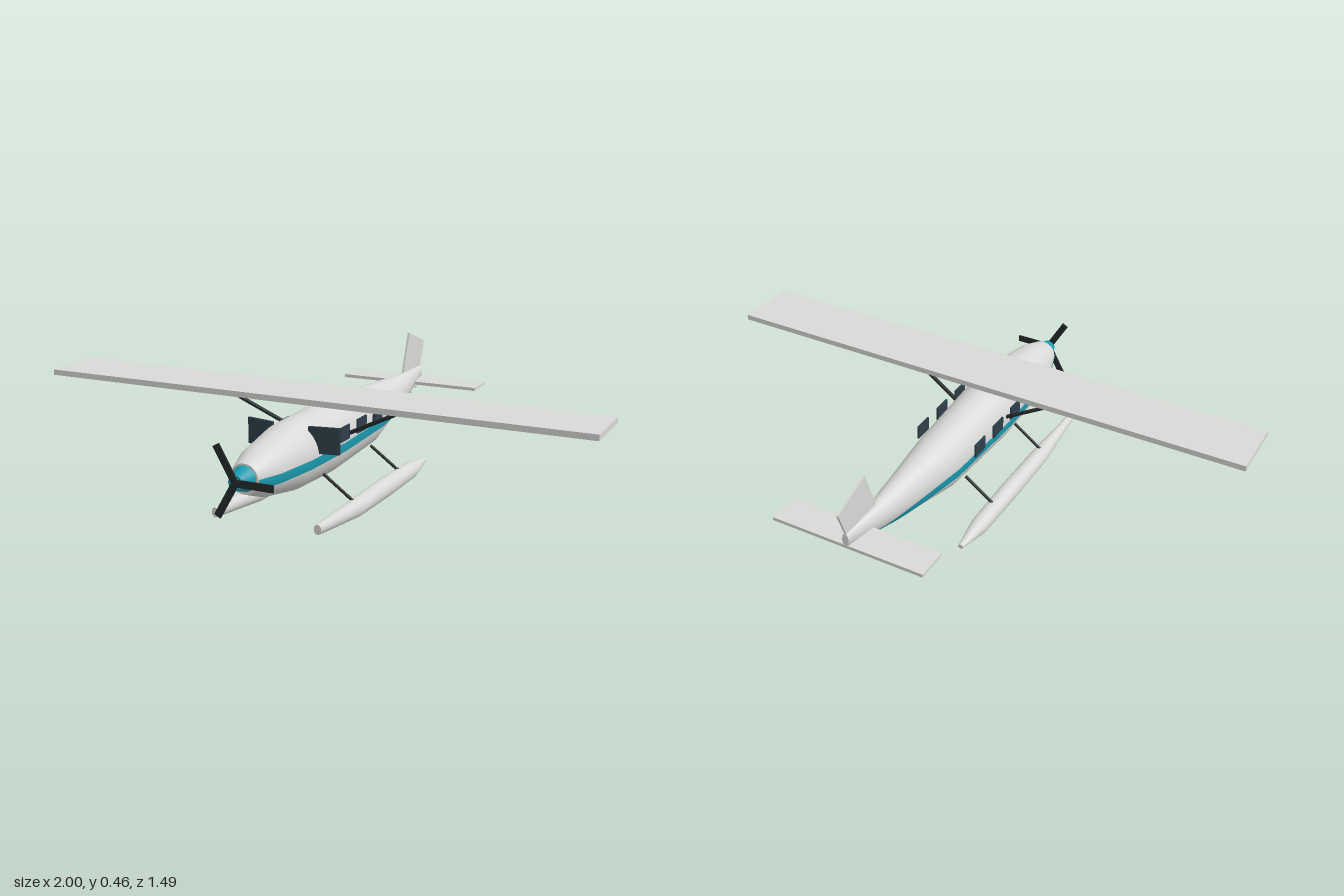
import * as THREE from 'three';

const mat = (name, color, side = THREE.FrontSide) => {
  const m = new THREE.MeshStandardMaterial({ color, side });
  m.name = name;
  return m;
};

// Closed loft through ellipses [z, yCentre, rx, ry], ordered front to back
function loft(sections, sides = 32) {
  const pos = [], idx = [];
  const ring = ([z, yc, rx, ry]) => {
    const start = pos.length / 3;
    for (let j = 0; j < sides; j++) {
      const a = (j / sides) * Math.PI * 2;
      pos.push(Math.cos(a) * rx, yc + Math.sin(a) * ry, z);
    }
    return start;
  };
  const starts = sections.map(ring);
  for (let i = 0; i < starts.length - 1; i++) {
    for (let j = 0; j < sides; j++) {
      const k = (j + 1) % sides;
      const a = starts[i] + j, b = starts[i] + k, c = starts[i + 1] + j, d = starts[i + 1] + k;
      idx.push(a, c, b, b, c, d);
    }
  }
  // End caps with their own vertices for crisp rims
  for (const [s, front] of [[sections[0], true], [sections[sections.length - 1], false]]) {
    const r = ring(s), centre = pos.length / 3;
    pos.push(0, s[1], s[0]);
    for (let j = 0; j < sides; j++) {
      const k = (j + 1) % sides;
      idx.push(centre, r + (front ? j : k), r + (front ? k : j));
    }
  }
  const g = new THREE.BufferGeometry();
  g.setAttribute('position', new THREE.Float32BufferAttribute(pos, 3));
  g.setIndex(idx);
  g.computeVertexNormals();
  return g;
}

// Section of a loft at any z, by linear interpolation
function sectionAt(sections, z) {
  let i = 0;
  while (i < sections.length - 2 && sections[i + 1][0] > z) i++;
  const a = sections[i], b = sections[i + 1], t = (z - a[0]) / (b[0] - a[0]);
  return a.map((v, n) => v + (b[n] - v) * t);
}

// Band hugging one side of the body between two heights
function stripeGeometry(sections, side, yLow, yHigh, zFront, zBack) {
  const pos = [], idx = [], steps = 60, across = 6, lift = 0.002;
  for (let i = 0; i <= steps; i++) {
    const z = zFront + (zBack - zFront) * (i / steps);
    const [, yc, rx, ry] = sectionAt(sections, z);
    const angle = (y) => Math.asin(THREE.MathUtils.clamp((y - yc) / ry, -1, 1));
    const lo = angle(yLow), hi = angle(yHigh);
    for (let j = 0; j <= across; j++) {
      const a = lo + (hi - lo) * (j / across);
      pos.push(side * Math.cos(a) * (rx + lift), yc + Math.sin(a) * (ry + lift), z);
    }
  }
  const w = across + 1;
  for (let i = 0; i < steps; i++) {
    for (let j = 0; j < across; j++) {
      const a = i * w + j, b = a + 1, c = a + w, d = c + 1;
      if (side > 0) idx.push(a, c, b, b, c, d);
      else idx.push(a, b, c, b, d, c);
    }
  }
  const g = new THREE.BufferGeometry();
  g.setAttribute('position', new THREE.Float32BufferAttribute(pos, 3));
  g.setIndex(idx);
  g.computeVertexNormals();
  return g;
}

export function createModel() {
  const model = new THREE.Group();
  model.name = 'floatplane';
  const white = mat('pale grey paint', 0xd8d8d6);
  const teal = mat('teal paint', 0x1a9bb0, THREE.DoubleSide);
  const glass = mat('dark glass', 0x2f3e48);
  const dark = mat('dark metal', 0x25292b);

  const add = (name, geometry, material, x = 0, y = 0, z = 0, parent = model) => {
    const m = new THREE.Mesh(geometry, material);
    m.name = name;
    m.position.set(x, y, z);
    parent.add(m);
    return m;
  };
  const box = (name, size, material, x, y, z) =>
    add(name, new THREE.BoxGeometry(...size), material, x, y, z);
  const rod = (name, from, to, radius) => {
    const a = new THREE.Vector3(...from), b = new THREE.Vector3(...to);
    const dir = b.clone().sub(a);
    const m = add(name, new THREE.CylinderGeometry(radius, radius, dir.length(), 10), dark);
    m.position.copy(a).add(b).multiplyScalar(0.5);
    m.quaternion.setFromUnitVectors(new THREE.Vector3(0, 1, 0), dir.normalize());
  };

  // Fuselage
  const body = [
    [0.69, 0.223, 0.05, 0.05],
    [0.6, 0.222, 0.08, 0.083],
    [0.43, 0.223, 0.101, 0.114],
    [0.2, 0.222, 0.107, 0.122],
    [-0.15, 0.222, 0.091, 0.108],
    [-0.48, 0.249, 0.045, 0.059],
    [-0.71, 0.281, 0.012, 0.026],
  ];
  add('fuselage', loft(body, 40), white);

  // Nose cone and three-bladed propeller
  const nose = add('noseCone', new THREE.CylinderGeometry(0.025, 0.043, 0.055, 28), teal, 0, 0.225, 0.715);
  nose.rotation.x = Math.PI / 2;
  const propeller = new THREE.Group();
  propeller.name = 'propeller';
  propeller.position.set(0, 0.225, 0.742);
  model.add(propeller);
  for (let i = 0; i < 3; i++) {
    const arm = new THREE.Group();
    arm.name = 'bladeArm';
    arm.rotation.z = (i * Math.PI * 2) / 3;
    propeller.add(arm);
    add('blade', new THREE.BoxGeometry(0.132, 0.024, 0.006), dark, 0.066, 0, 0, arm);
  }

  // Wing and tail surfaces
  box('wing', [2, 0.02, 0.23], white, 0, 0.39, 0.228);
  box('tailplane', [0.56, 0.012, 0.116], white, 0, 0.257, -0.653);
  box('tailFin', [0.008, 0.195, 0.161], white, 0, 0.338, -0.634).rotation.x = -0.355;

  // Float hull outline
  const hull = [
    [0.565, 0.047, 0.013, 0.017],
    [0.29, 0.034, 0.032, 0.032],
    [0.05, 0.035, 0.034, 0.035],
    [-0.18, 0.034, 0.031, 0.031],
    [-0.31, 0.036, 0.01, 0.008],
  ];

  for (const s of [1, -1]) {
    add('stripe', stripeGeometry(body, s, 0.195, 0.227, 0.689, -0.615), teal);
    // Cockpit panel and cabin windows
    box('cockpitPanel', [0.106, 0.09, 0.008], glass, s * 0.117, 0.28, 0.378).rotation.y = s * 0.187;
    for (const z of [0.221, 0.088, -0.045]) {
      box('cabinWindow', [0.006, 0.05, 0.07], glass, s * 0.115, 0.265, z);
    }
    // Struts and floats
    rod('wingStrut', [s * 0.365, 0.384, 0.23], [s * 0.09, 0.245, 0.18], 0.007);
    for (const z of [0.302, -0.075]) {
      rod('floatStrut', [s * 0.187, 0.06, z], [s * 0.075, 0.14, z], 0.0055);
    }
    add('float', loft(hull, 28), white, s * 0.187);
  }
  return model;
}
